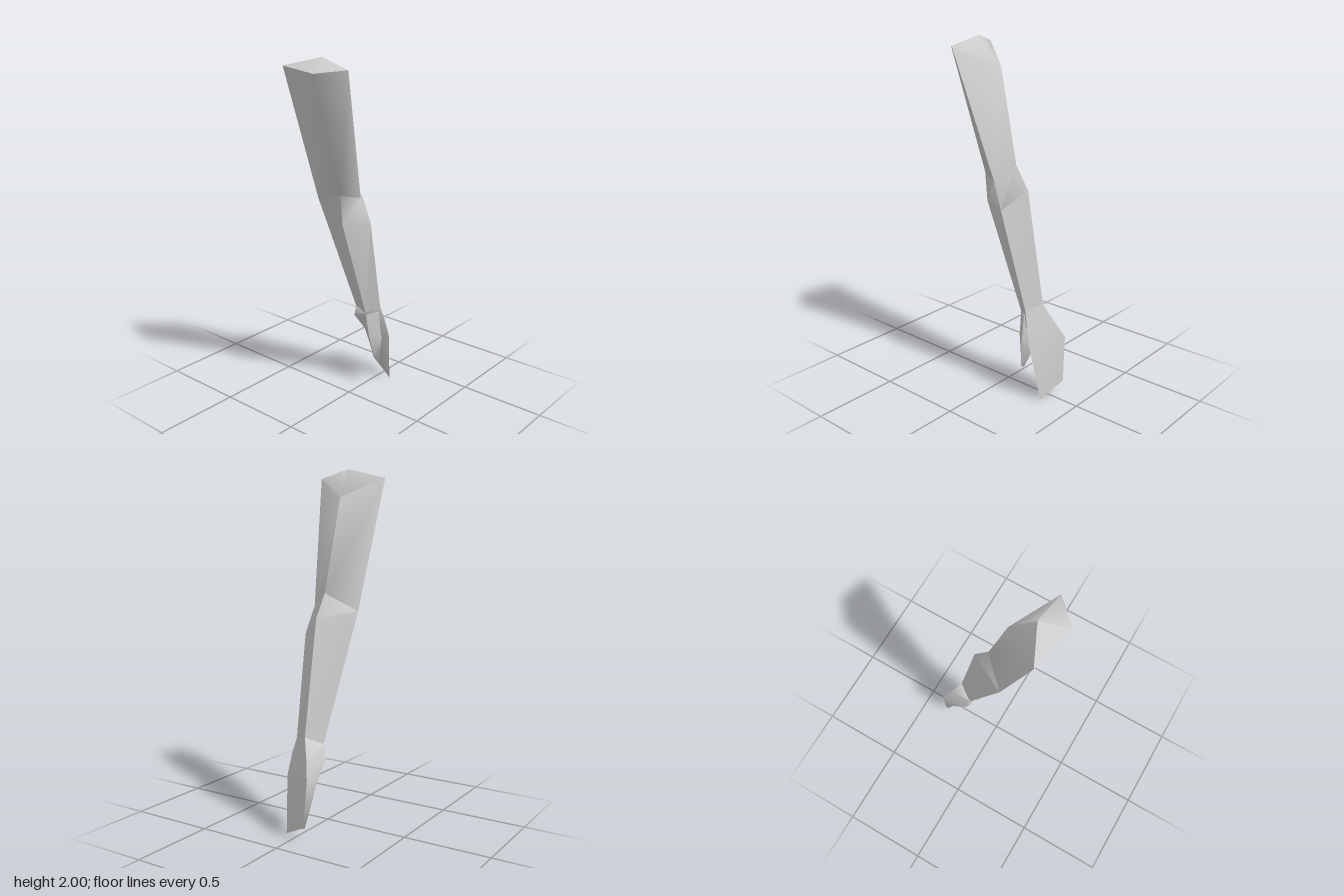
import * as THREE from 'three';
import { toCreasedNormals } from 'three/addons/utils/BufferGeometryUtils.js';

const material = new THREE.MeshStandardMaterial({ color: 0xcccccc });

// Skins four-cornered rings (front, +x side, back, -x side) from top to bottom,
// closing each end with a fan to a centre point.
function loft(name, rings, topPoint, bottomPoint) {
  const centre = (ring) => [0, 1, 2].map((k) => ring.reduce((s, p) => s + p[k], 0) / ring.length);
  const n = rings[0].length;
  const points = rings.flat();
  const top = points.push(topPoint || centre(rings[0])) - 1;
  const bottom = points.push(bottomPoint || centre(rings[rings.length - 1])) - 1;
  const index = [];
  for (let i = 0; i < n; i++) {
    const j = (i + 1) % n;
    for (let r = 0; r < rings.length - 1; r++) {
      const a = r * n + i, b = r * n + j, c = b + n, d = a + n;
      index.push(d, c, b, d, b, a);
    }
    const last = (rings.length - 1) * n;
    index.push(top, i, j, bottom, last + j, last + i);
  }
  const geometry = new THREE.BufferGeometry();
  geometry.setAttribute('position', new THREE.Float32BufferAttribute(points.flat(), 3));
  geometry.setIndex(index);
  const mesh = new THREE.Mesh(toCreasedNormals(geometry, 1.25), material);
  mesh.name = name;
  return mesh;
}

export function createModel() {
  const arm = new THREE.Group();
  arm.name = 'arm';

  // Joint rings shared by neighbouring parts
  const elbow = [[-0.02, 1.24, 0.10], [0.045, 1.32, -0.01], [-0.10, 1.215, -0.138], [-0.13, 1.265, 0.05]];
  const wrist = [[0.19, 0.525, 0.08], [0.243, 0.55, -0.01], [0.15, 0.50, -0.07], [0.117, 0.49, 0.03]];

  // Upper arm with a peaked shoulder end
  arm.add(loft('upperArm', [
    [[-0.23, 1.95, 0.19], [-0.08, 1.84, -0.03], [-0.30, 1.95, -0.19], [-0.355, 1.935, 0.07]],
    elbow,
  ], [-0.21, 2.0, 0]));

  // Forearm, widest just below the elbow
  arm.add(loft('forearm', [
    elbow,
    [[0.045, 1.09, 0.118], [0.13, 1.19, -0.01], [-0.07, 1.13, -0.13], [-0.115, 1.10, 0.05]],
    wrist,
  ]));

  // Flat hand narrowing to a slanted fingertip edge
  arm.add(loft('hand', [
    wrist,
    [[0.215, 0.44, 0.095], [0.295, 0.44, -0.055], [0.16, 0.43, -0.092], [0.13, 0.43, 0.03]],
    [[0.245, 0.32, 0.107], [0.343, 0.35, -0.09], [0.27, 0.30, -0.10], [0.225, 0.28, 0.03]],
    [[0.30, 0.005, 0.076], [0.35, 0.08, -0.07], [0.335, 0.075, -0.07], [0.292, 0.02, 0.07]],
  ]));

  // Thumb branching off below the wrist
  arm.add(loft('thumb', [
    [[0.18, 0.49, 0.08], [0.21, 0.48, 0.02], [0.155, 0.47, -0.05], [0.119, 0.48, 0.03]],
    [[0.18, 0.33, 0.098], [0.238, 0.30, 0.06], [0.18, 0.34, -0.01], [0.125, 0.35, 0.05]],
    [[0.168, 0.18, 0.09], [0.185, 0.18, 0.075], [0.17, 0.19, 0.05], [0.155, 0.20, 0.07]],
  ], null, [0.175, 0.165, 0.075]));

  return arm;
}
